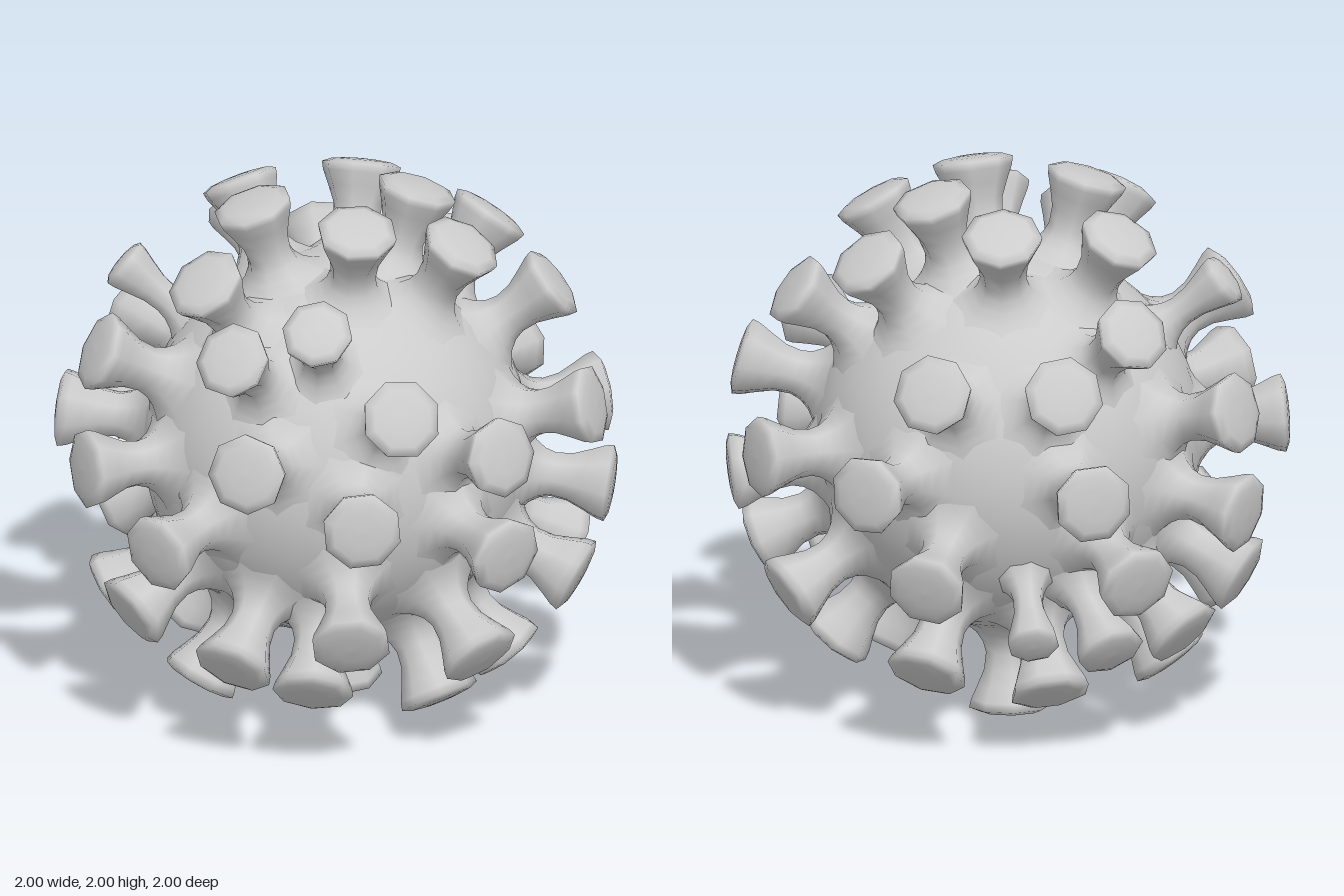
import * as THREE from 'three';

// Rings of spikes: latitude and width, then the headings (degrees, 0 = front, 90 = left)
const RINGS = [
  [72, 1, 75, -18, -111],
  [65, 1, 135],
  [59.5, 1, 32, -169],
  [52, 1, 82, -83],
  [46, 0.88, -38],
  [38, 0.95, 59, -61, 173],
  [38, 0.68, -136],
  [27, 1, -17, 120, -107, 151],
  [15, 1, 6, 41, -52, -163],
  [4, 1, -27, 74, 107, -97, -130, 156],
  [-7, 1, 6, 51, -73, -163],
  [-16, 1, 120, 167],
  [-25, 1, -29, 41, -153],
  [-28.5, 1, 73, -90],
  [-30, 0.65, 144],
  [-36, 1, 8, -60, -122, -170],
  [-35, 0.85, 165],
  [-43, 1, -39, 114],
  [-51, 1, 47, 152, -153],
  [-57, 1, 11, -97],
  [-81, 1, 140],
];

export function createModel() {
  const model = new THREE.Group();
  const material = new THREE.MeshStandardMaterial({ color: 0xcccccc });

  // Round core
  const body = new THREE.Mesh(new THREE.SphereGeometry(0.695, 48, 32), material);
  body.name = 'body';
  body.position.y = 1;
  model.add(body);

  // Eight-sided trumpet: foot blending into the core, narrow neck, flared head, shallow dome
  const profile = [
    [0.2, 0.662], [0.155, 0.685], [0.118, 0.715], [0.094, 0.75], [0.083, 0.79], [0.09, 0.85],
    [0.115, 0.91], [0.138, 0.96], [0.145, 0.99], [0.11, 1.004], [0.06, 1.01], [0, 1.012],
  ].map(([radius, height]) => new THREE.Vector2(radius, height));
  const spikeGeometry = new THREE.LatheGeometry(profile, 8);

  const up = new THREE.Vector3(0, 1, 0);
  const direction = new THREE.Vector3();
  for (const [latitude, width, ...headings] of RINGS) {
    for (const heading of headings) {
      const spike = new THREE.Mesh(spikeGeometry, material);
      spike.name = 'spike';
      spike.position.y = 1;
      direction.setFromSphericalCoords(
        1, THREE.MathUtils.degToRad(90 - latitude), THREE.MathUtils.degToRad(heading));
      spike.quaternion.setFromUnitVectors(up, direction);
      spike.scale.set(width, 1, width);
      model.add(spike);
    }
  }
  return model;
}
